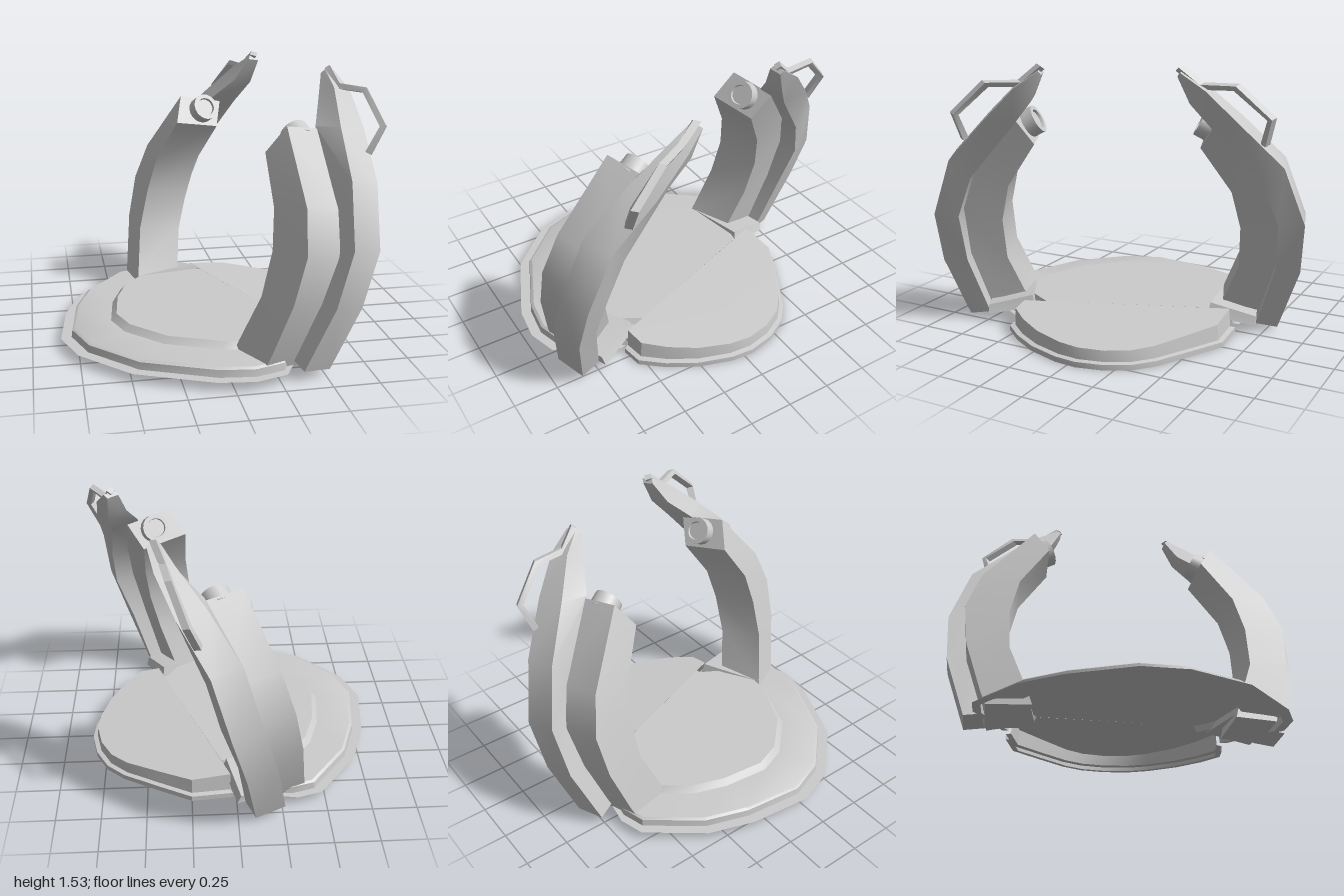
import * as THREE from 'three';
import { toCreasedNormals } from 'three/addons/utils/BufferGeometryUtils.js';

const grey = new THREE.MeshStandardMaterial({ color: 0xcccccc });
const sheet = new THREE.MeshStandardMaterial({ color: 0xcccccc, side: THREE.DoubleSide });
const V = (x, y, z) => new THREE.Vector3(x, y, z);

// Skin a list of equal-sized rings. Solids are closed all round; sheets stay open
// below and along the edge from the last point to the first.
function loft(name, rings, solid = true) {
  const n = rings[0].length;
  const tris = [];
  for (let i = 0; i < rings.length - 1; i++) {
    for (let j = 0; j < (solid ? n : n - 1); j++) {
      const k = (j + 1) % n;
      const a = rings[i][j], b = rings[i][k], c = rings[i + 1][k], d = rings[i + 1][j];
      tris.push([a, b, c], [a, c, d]);
    }
  }
  const cap = (ring, last) => {
    const mid = ring.reduce((s, p) => s.add(p), V(0, 0, 0)).divideScalar(n);
    ring.forEach((p, j) => {
      const q = ring[(j + 1) % n];
      tris.push(last ? [p, q, mid] : [q, p, mid]);
    });
  };
  if (solid) cap(rings[0], false);
  cap(rings[rings.length - 1], true);
  // Turn the faces outward
  const volume = tris.reduce((s, [a, b, c]) => s + a.dot(b.clone().cross(c)), 0);
  if (volume < 0) tris.forEach((t) => t.reverse());
  const geo = new THREE.BufferGeometry().setFromPoints(tris.flat());
  const mesh = new THREE.Mesh(toCreasedNormals(geo, 0.55), solid ? grey : sheet);
  mesh.name = name;
  return mesh;
}

// Plate made of tiers [scale, y, slope] of one outline, scaled about a point on the
// seam; slope lowers a tier with its distance from the seam.
function plate(name, outline, tiers) {
  const cx = 0.24, cz = -0.025;
  return loft(name, tiers.map(([s, y, slope = 0]) => outline.map(([x, z]) => {
    const dx = (x - cx) * s, dz = (z - cz) * s;
    return V(cx + dx, y - slope * (0.936 * dx - 0.352 * dz), cz + dz);
  })), false);
}

// Four-cornered beam: each station is [inner edge, outer edge, width factor].
function beam(name, stations, width, map) {
  return loft(name, stations.map(([a, c, k = 1]) => {
    const A = V(...a), C = V(...c);
    return [A, A.clone().addScaledVector(width, k), C.clone().addScaledVector(width, k), C].map(map);
  }));
}

function makeClaw(name, map) {
  const claw = new THREE.Group();
  claw.name = name;

  // Inner arm, square-ended
  claw.add(beam('innerArm', [
    [[-0.34, 0.07, -0.37], [-0.385, 0.07, -0.61]],
    [[-0.33, 0.15, -0.40], [-0.375, 0.15, -0.645]],
    [[-0.30, 0.42, -0.52], [-0.345, 0.44, -0.75]],
    [[-0.245, 0.66, -0.545], [-0.295, 0.69, -0.79]],
    [[-0.19, 0.87, -0.51], [-0.22, 0.91, -0.73]],
    [[-0.08, 1.12, -0.37], [-0.04, 1.265, -0.475]],
  ], V(0.26, -0.045, -0.08), map));

  // Foot wedge that ties the arm to the plates
  claw.add(loft('foot', [
    [[-0.33, 0.10, -0.39], [0.07, 0.10, -0.46], [0.0, 0.05, -0.72], [-0.32, 0.07, -0.64]],
    [[-0.33, 0.14, -0.40], [0.05, 0.165, -0.47], [-0.02, 0.10, -0.72], [-0.34, 0.12, -0.62]],
  ].map((ring) => ring.map((p) => map(V(...p))))));

  // Outer fin, tapering to a tip
  claw.add(beam('outerFin', [
    [[-0.21, 0.08, -0.66], [-0.26, 0.06, -0.77]],
    [[-0.16, 0.42, -0.78], [-0.20, 0.42, -0.91]],
    [[-0.07, 0.70, -0.82], [-0.12, 0.71, -0.95]],
    [[0.0, 0.93, -0.75], [-0.02, 1.03, -0.86]],
    [[0.16, 1.24, -0.52], [0.15, 1.26, -0.68], 0.95],
    [[0.29, 1.36, -0.45], [0.30, 1.43, -0.54], 0.65],
    [[0.37, 1.49, -0.41], [0.38, 1.51, -0.43], 0.38],
  ], V(0.165, -0.03, -0.05), map));

  // Bent rod handle behind the tip
  const path = [
    [0.20, 1.13, -0.82], [0.25, 1.27, -0.87], [0.33, 1.43, -0.71],
    [0.36, 1.43, -0.53], [0.405, 1.52, -0.43],
  ].map((p) => V(...p));
  const side = V(0.9, -0.25, 0.35).normalize();
  claw.add(loft('handle', path.map((p, i) => {
    const dir = path[Math.min(i + 1, path.length - 1)].clone().sub(path[Math.max(i - 1, 0)]);
    const up = side.clone().cross(dir).normalize();
    return [[-1, -1], [1, -1], [1, 1], [-1, 1]].map(([u, v]) =>
      map(p.clone().addScaledVector(side, u * 0.02).addScaledVector(up, v * 0.016)));
  })));

  // Round socket on the arm's end face
  const centre = V(0.085, 1.175, -0.468);
  const normal = V(0.33, 0.47, 0.81).normalize();
  const from = map(centre.clone());
  const axis = map(centre.clone().add(normal)).sub(from).normalize();
  const profile = [[0, -0.02], [0.08, -0.02], [0.08, 0.065], [0.055, 0.065], [0.052, 0.05], [0, 0.05]]
    .map(([x, y]) => new THREE.Vector2(x, y));
  const socket = new THREE.Mesh(toCreasedNormals(new THREE.LatheGeometry(profile, 18), 0.6), grey);
  socket.name = 'socket';
  socket.position.copy(from);
  socket.quaternion.setFromUnitVectors(V(0, 1, 0), axis);
  claw.add(socket);
  return claw;
}

export function createModel() {
  const model = new THREE.Group();
  model.name = 'clawStand';

  // Wide plate: flat flange, rim wall, ring and raised centre
  model.add(plate('widePlate', [
    [0.01, -0.63], [-0.34, -0.69], [-0.48, -0.65], [-0.71, -0.355], [-0.80, -0.095], [-0.843, 0.27],
    [-0.76, 0.50], [-0.50, 0.77], [-0.09, 0.945], [0.11, 0.97], [0.28, 0.92], [0.47, 0.585],
  ], [[1, 0.05], [0.945, 0.05], [0.94, 0.09], [0.925, 0.10], [0.735, 0.105], [0.705, 0.14]]));

  // Narrow plate: thin foot flange, wall and a top that falls away from the seam
  model.add(plate('narrowPlate', [
    [0.02, -0.61], [0.25, -0.63], [0.44, -0.53], [0.64, -0.42], [0.74, -0.33], [0.81, -0.2],
    [0.842, -0.05], [0.83, 0.08], [0.77, 0.265], [0.68, 0.42], [0.58, 0.54], [0.46, 0.56],
  ], [[0.95, 0], [1, 0], [1, 0.03], [0.955, 0.035], [0.945, 0.14, 0.08]]));

  // The front claw is the back one mirrored, turned and shifted
  const turn = THREE.MathUtils.degToRad(40);
  model.add(makeClaw('backClaw', (p) => p));
  model.add(makeClaw('frontClaw', (p) => {
    const q = V(p.x, p.y, -p.z).applyAxisAngle(V(0, 1, 0), turn);
    return q.add(V(0.07, 0, 0.168));
  }));
  return model;
}
